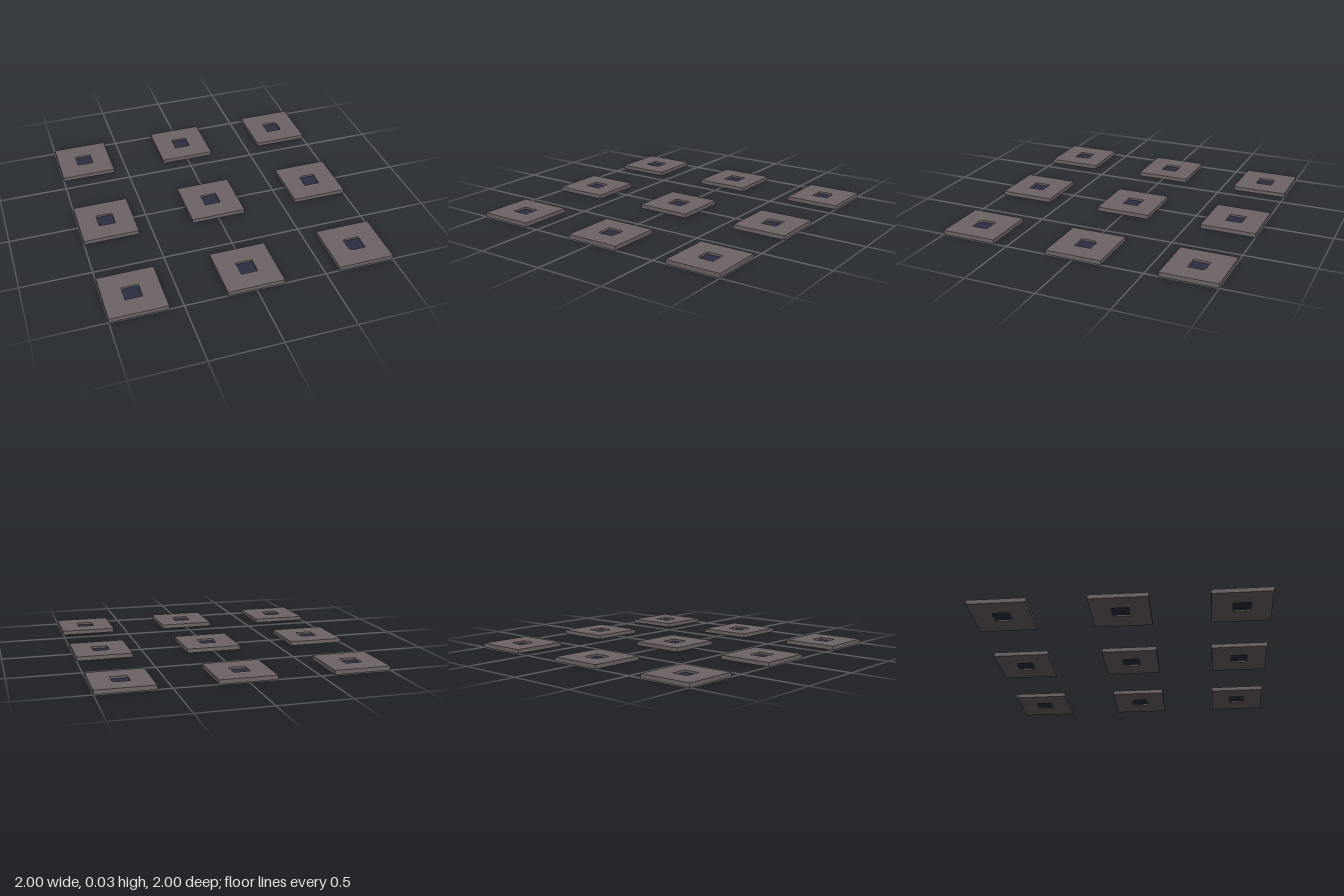
import * as THREE from 'three';

const TILE = 0.4, THICK = 0.03, HOLE = 0.118, PITCH = 0.8;

// Square outline whose corners are rounded individually: [++, -+, --, +-]
function squarePoints(size, radii = [0, 0, 0, 0]) {
  const h = size / 2, points = [];
  const signs = [[1, 1], [-1, 1], [-1, -1], [1, -1]];
  signs.forEach(([sx, sy], i) => {
    const r = radii[i], steps = r > 0 ? 5 : 0;
    for (let k = 0; k <= steps; k++) {
      const a = (i + (steps ? k / steps : 0)) * Math.PI / 2;
      points.push(r > 0
        ? new THREE.Vector2(sx * (h - r) + r * Math.cos(a), sy * (h - r) + r * Math.sin(a))
        : new THREE.Vector2(sx * h, sy * h));
    }
  });
  return points;
}

// Flat slab with a square opening
function tileGeometry(radii) {
  const shape = new THREE.Shape(squarePoints(TILE));
  shape.holes.push(new THREE.Path(squarePoints(HOLE, radii)));
  const geometry = new THREE.ExtrudeGeometry(shape, { depth: THICK, bevelEnabled: false });
  return geometry.rotateX(-Math.PI / 2);
}

export function createModel() {
  const group = new THREE.Group();
  group.name = 'tileGrid';

  const stone = new THREE.MeshStandardMaterial({ color: 0x6f6468 });
  stone.name = 'warmGreyStone';
  const navy = new THREE.MeshStandardMaterial({ color: 0x2b2d42 });
  navy.name = 'darkNavy';

  // Opening corners that are rounded on the left column, from back to front
  const r = 0.03;
  const leftColumn = [[r, 0, 0, 0], [0, r, 0, 0], [0, 0, r, 0]];
  const plain = tileGeometry();
  const insert = new THREE.BoxGeometry(HOLE, 0.005, HOLE);

  for (let col = 0; col < 3; col++) {
    for (let row = 0; row < 3; row++) {
      const unit = new THREE.Group();
      unit.name = `tileUnit${col}${row}`;
      unit.position.set((col - 1) * PITCH, 0, (row - 1) * PITCH);

      const tile = new THREE.Mesh(col === 2 ? tileGeometry(leftColumn[row]) : plain, stone);
      tile.name = 'tile';

      // Sunken dark floor of the opening
      const floor = new THREE.Mesh(insert, navy);
      floor.name = 'socketFloor';
      floor.position.y = 0.013;

      unit.add(tile, floor);
      group.add(unit);
    }
  }
  return group;
}
